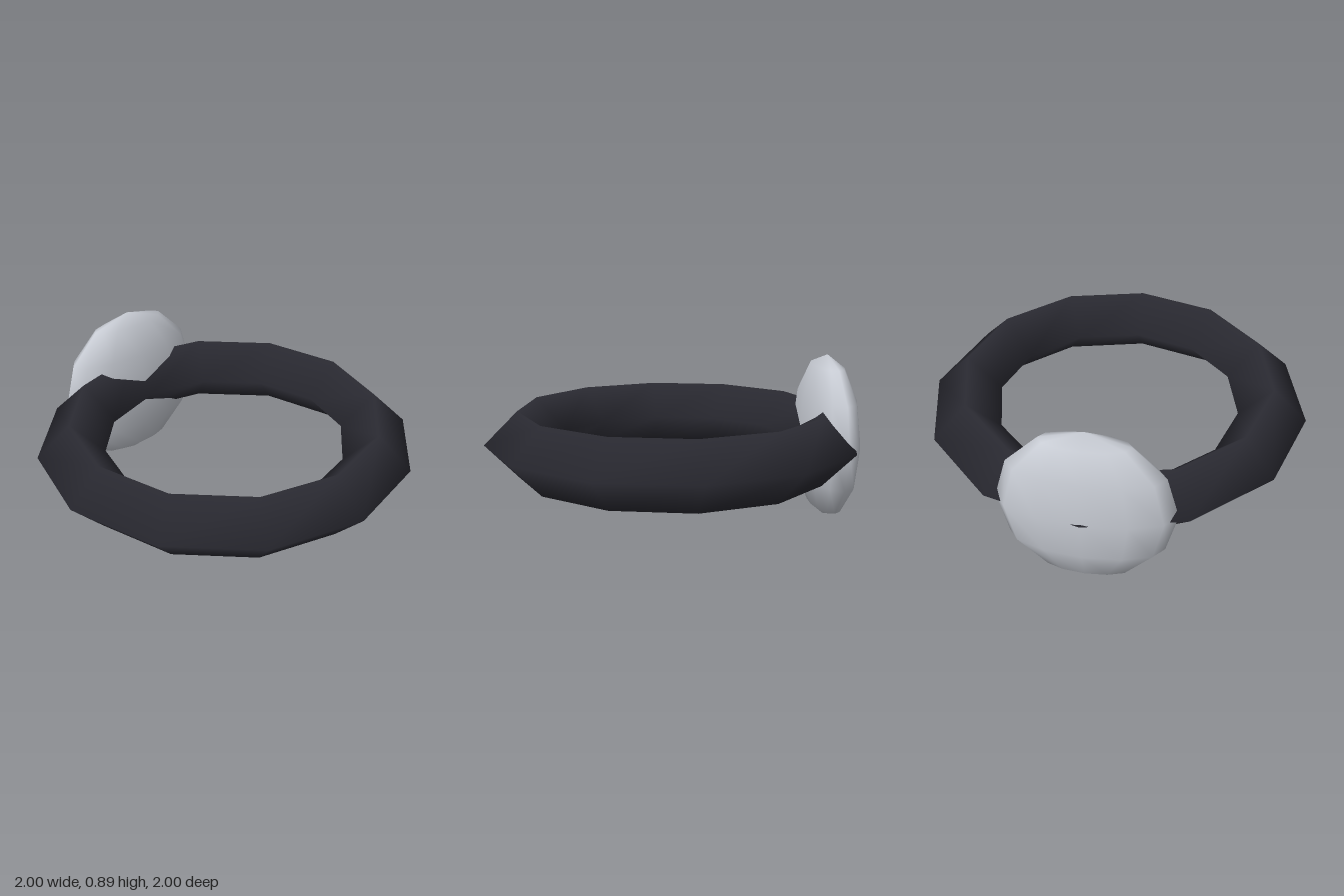
import * as THREE from 'three';

export function createModel() {
  const model = new THREE.Group();
  const darkBand = new THREE.MeshStandardMaterial({ name: 'dark band', color: 0x2b2b33 });
  const paleStone = new THREE.MeshStandardMaterial({ name: 'pale silver', color: 0xc8ccd4 });
  const centreY = 0.445;

  // Flat-lying twelve-sided ring with a diamond cross-section
  const ringGeometry = new THREE.TorusGeometry(0.822, 0.178, 4, 12);
  ringGeometry.rotateX(Math.PI / 2);
  const ring = new THREE.Mesh(ringGeometry, darkBand);
  ring.name = 'ring';
  ring.position.y = centreY;
  model.add(ring);

  // Flattened low-poly disc on the ring's right side
  const discGeometry = new THREE.SphereGeometry(0.445, 12, 6);
  discGeometry.scale(0.33, 1, 1);
  const disc = new THREE.Mesh(discGeometry, paleStone);
  disc.name = 'disc';
  disc.position.set(-0.845, centreY, 0);
  model.add(disc);

  return model;
}
